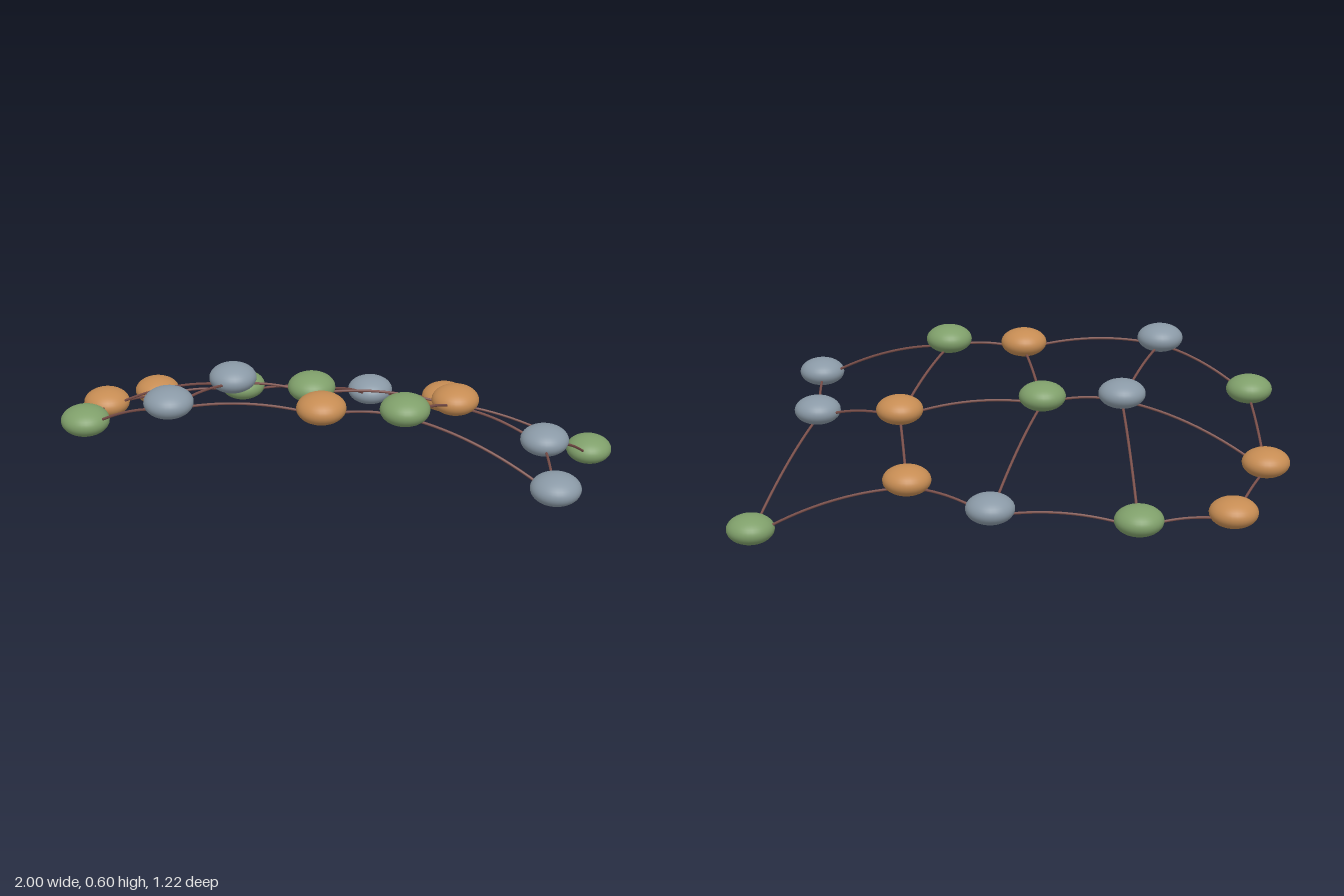
import * as THREE from 'three';

const mat = (name, color) => {
  const m = new THREE.MeshStandardMaterial({ color });
  m.name = name;
  return m;
};

// Grid of beads: [x, y, z], rows from back to front, left to right
const ROWS = [
  [[-0.815, 0.18, -0.37], [-0.495, 0.18, -0.5], [0.025, 0.202, -0.525], [0.345, 0.25, -0.417], [0.91, 0.055, -0.487]],
  [[-0.912, 0.258, -0.05], [-0.37, 0.46, 0.06], [-0.075, 0.442, 0.037], [0.445, 0.397, -0.07], [0.797, 0.334, 0.067]],
  [[-0.825, 0.393, 0.408], [-0.468, 0.55, 0.522], [0.055, 0.537, 0.42], [0.345, 0.547, 0.387], [0.89, 0.356, 0.493]],
];
// Bead colour: 0 orange, 1 green, 2 grey
const COLOURS = [[0, 1, 2, 0, 1], [0, 2, 1, 0, 2], [1, 2, 0, 1, 2]];

export function createModel() {
  const group = new THREE.Group();
  group.name = 'beadNet';
  const beadMats = [mat('orange', 0xc68c53), mat('green', 0x7f9f6a), mat('greyBlue', 0x8a99a6)];
  const cordMat = mat('cordBrown', 0x7a4f4a);

  // Flattened beads
  const beadGeo = new THREE.SphereGeometry(0.088, 32, 20);
  beadGeo.scale(1, 0.61, 1);

  // Thin cord arching slightly between the undersides of two beads
  const addCord = (name, a, b, arch) => {
    const p = new THREE.Vector3(...a), q = new THREE.Vector3(...b);
    p.y -= 0.03;
    q.y -= 0.03;
    const mid = p.clone().lerp(q, 0.5);
    mid.y += 2 * arch * p.distanceTo(q);
    const path = new THREE.QuadraticBezierCurve3(p, mid, q);
    const cord = new THREE.Mesh(new THREE.TubeGeometry(path, 16, 0.005, 8), cordMat);
    cord.name = name;
    group.add(cord);
  };

  ROWS.forEach((row, r) => row.forEach((pos, c) => {
    const bead = new THREE.Mesh(beadGeo, beadMats[COLOURS[r][c]]);
    bead.name = `bead${r}_${c}`;
    bead.position.set(...pos);
    group.add(bead);
    if (c < 4) addCord(`rowCord${r}_${c}`, pos, row[c + 1], 0.065);
    if (r < 2) addCord(`columnCord${r}_${c}`, pos, ROWS[r + 1][c], 0.045);
  }));
  return group;
}
